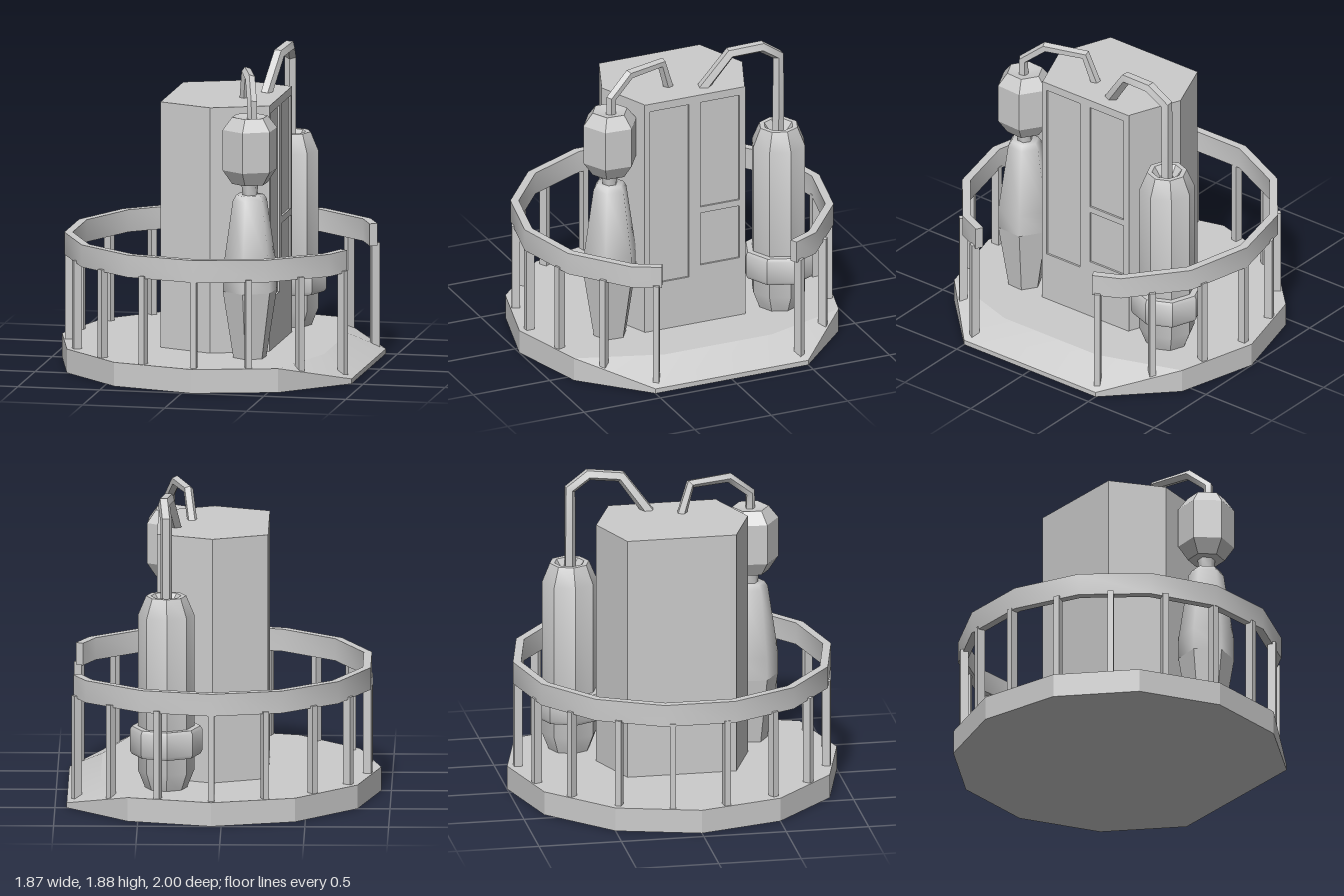
import * as THREE from 'three';
import { toCreasedNormals } from 'three/addons/utils/BufferGeometryUtils.js';

const CX = 0.06, FLOOR = 0.145, RAD = Math.PI / 180;
const grey = new THREE.MeshStandardMaterial({ color: 0xcccccc, side: THREE.DoubleSide });

function add(parent, name, geometry) {
  const mesh = new THREE.Mesh(geometry, grey);
  mesh.name = name;
  parent.add(mesh);
  return mesh;
}

// Straight-segment path that a tube can follow corner by corner
class Polyline extends THREE.Curve {
  constructor(points) {
    super();
    this.points = points.map(p => new THREE.Vector3(...p));
  }
  getPoint(t, target = new THREE.Vector3()) {
    const f = t * (this.points.length - 1);
    const i = Math.min(Math.floor(f + 1e-6), this.points.length - 2);
    return target.lerpVectors(this.points[i], this.points[i + 1], f - i);
  }
  getPointAt(t, target) { return this.getPoint(t, target); }
  getTangentAt(t, target) { return this.getTangent(t, target); }
  getTangent(t, target = new THREE.Vector3()) {
    const p = this.points, n = p.length - 1, i = Math.round(t * n);
    const dir = (a, b) => new THREE.Vector3().subVectors(p[b], p[a]).normalize();
    target.set(0, 0, 0);
    if (i > 0) target.add(dir(i - 1, i));
    if (i < n) target.add(dir(i, i + 1));
    return target.normalize();
  }
}

function pipe(parent, name, points, radius) {
  const tube = new THREE.TubeGeometry(new Polyline(points), points.length - 1, radius, 5);
  add(parent, name, toCreasedNormals(tube, 0.6));
}

// Faceted vessel turned from [radius, y] pairs, bottom to top
function turned(parent, name, profile, sides, crease) {
  const pts = profile.map(([r, y]) => new THREE.Vector2(r, y));
  return add(parent, name, toCreasedNormals(new THREE.LatheGeometry(pts, sides), crease));
}

// Twelve-sided platform whose right side is cut off and slopes down as a ramp
function platformGeometry() {
  const rim = [];
  for (let a = 30; a <= 330; a += 30) {
    const end = a === 30 || a === 330;
    rim.push([end ? 0.93 : CX + Math.cos(a * RAD), end ? 0.03 : FLOOR, Math.sin(a * RAD)]);
  }
  const pos = [], tri = (...c) => c.forEach(p => pos.push(...p));
  const low = p => [p[0], 0, p[2]];
  rim.forEach((p, i) => {
    const q = rim[(i + 1) % rim.length];
    tri(low(p), p, q);
    tri(low(p), q, low(q));
    tri([CX, 0, 0], low(p), low(q));
  });
  // flat floor
  const back = [0.73, FLOOR, -0.35], front = [0.73, FLOOR, 0.35];
  const flat = [...rim.slice(1, -1), back, front];
  flat.forEach((p, i) => tri([CX, FLOOR, 0], flat[(i + 1) % flat.length], p));
  // ramp
  const first = rim[0], last = rim[10];
  tri(back, last, rim[9]);
  tri(back, first, last);
  tri(back, front, first);
  tri(front, rim[1], first);
  const g = new THREE.BufferGeometry();
  g.setAttribute('position', new THREE.Float32BufferAttribute(pos, 3));
  return toCreasedNormals(g, 0.4);
}

// Open handrail following a fourteen-sided ring
function railGeometry() {
  const step = 360 / 14, angles = [28];
  for (let k = 0; k < 12; k++) angles.push(step * (k + 1.5));
  angles.push(332);
  const at = (a, r) => {
    const isEnd = a === 28 || a === 332;
    const d = isEnd ? r * Math.cos(step / 2 * RAD) : r;
    return new THREE.Vector2(CX + d * Math.cos(a * RAD), d * Math.sin(a * RAD));
  };
  const outline = [...angles.map(a => at(a, 0.965)), ...angles.slice().reverse().map(a => at(a, 0.915))];
  const g = new THREE.ExtrudeGeometry(new THREE.Shape(outline), { depth: 0.135, bevelEnabled: false });
  g.rotateX(-Math.PI / 2).translate(0, 0.665, 0);
  return toCreasedNormals(g, 0.6);
}

export function createModel() {
  const model = new THREE.Group();
  model.name = 'platformStation';
  add(model, 'platform', platformGeometry());

  // Railing
  const railing = new THREE.Group();
  railing.name = 'railing';
  model.add(railing);
  add(railing, 'handrail', railGeometry());
  for (let a = 30; a <= 330; a += 20) {
    const bottom = a === 30 || a === 330 ? 0.04 : 0.1;
    const post = add(railing, 'railPost', new THREE.BoxGeometry(0.05, 0.68 - bottom, 0.037));
    post.position.set(CX + 0.935 * Math.cos(a * RAD), (0.68 + bottom) / 2, 0.935 * Math.sin(a * RAD));
    post.rotation.y = -a * RAD;
  }

  // Six-sided tower
  const tower = new THREE.Group();
  tower.name = 'tower';
  model.add(tower);
  const hex = [[0.382, 0.33], [CX, 0.46], [-0.27, 0.33], [-0.27, -0.33], [CX, -0.46], [0.382, -0.33]];
  const body = new THREE.ExtrudeGeometry(
    new THREE.Shape(hex.map(p => new THREE.Vector2(...p))), { depth: 1.51, bevelEnabled: false });
  body.rotateX(-Math.PI / 2).translate(0, 0.125, 0);
  add(tower, 'towerBody', body);

  // Door face with three recessed panels
  const rect = (Type, x0, x1, y0, y1) => new Type([[x0, y0], [x1, y0], [x1, y1], [x0, y1]]
    .map(p => new THREE.Vector2(...p)));
  const face = rect(THREE.Shape, -0.33, 0.33, 0.125, 1.635);
  face.holes.push(
    rect(THREE.Path, -0.295, -0.04, 0.455, 1.585),
    rect(THREE.Path, 0.035, 0.29, 0.9, 1.585),
    rect(THREE.Path, 0.035, 0.29, 0.52, 0.86));
  const frame = new THREE.ExtrudeGeometry(face, { depth: 0.012, bevelEnabled: false });
  frame.rotateY(Math.PI / 2).translate(0.382, 0, 0);
  add(tower, 'doorFrame', frame);

  // Front vessel: tapered flask, neck and six-sided tank
  const flask = new THREE.Group();
  flask.name = 'frontVessel';
  flask.position.set(0.315, 0, 0.522);
  flask.rotation.y = -0.06;
  model.add(flask);
  turned(flask, 'flaskBase', [[0, 0.13], [0.1, 0.13], [0.167, 0.55]], 6, 0.5);
  turned(flask, 'flaskBody', [[0.167, 0.55], [0.165, 0.69], [0.105, 1.1], [0.085, 1.13], [0, 1.13]], 6, 1.1);
  turned(flask, 'neck', [[0.045, 1.12], [0.052, 1.2]], 6, 1.1);
  turned(flask, 'tank', [[0, 1.2], [0.11, 1.2], [0.168, 1.285], [0.168, 1.53], [0.11, 1.605], [0.03, 1.59], [0, 1.59]], 6, 0.5);
  pipe(model, 'frontPipe', [[0.33, 1.57, 0.522], [0.33, 1.69, 0.522], [0.29, 1.805, 0.385],
    [0.215, 1.805, 0.14], [0.19, 1.62, 0.08]], 0.031);

  // Rear vessel: eight-sided cylinder with a collar
  const cylinder = new THREE.Group();
  cylinder.name = 'rearVessel';
  cylinder.position.set(0.335, 0, -0.573);
  cylinder.rotation.y = 0.04;
  model.add(cylinder);
  turned(cylinder, 'cylinderBody', [[0, 0.13], [0.12, 0.13], [0.168, 0.25], [0.168, 1.2], [0.12, 1.315],
    [0.09, 1.315], [0.05, 1.26], [0, 1.26]], 8, 0.6);
  turned(cylinder, 'collar', [[0.165, 0.35], [0.205, 0.35], [0.216, 0.37], [0.216, 0.5], [0.205, 0.52],
    [0.165, 0.52]], 8, 0.6);
  pipe(model, 'rearPipe', [[0.335, 1.25, -0.57], [0.335, 1.775, -0.57], [0.35, 1.855, -0.455],
    [0.325, 1.84, -0.26], [0.28, 1.62, -0.1]], 0.037);

  return model;
}
